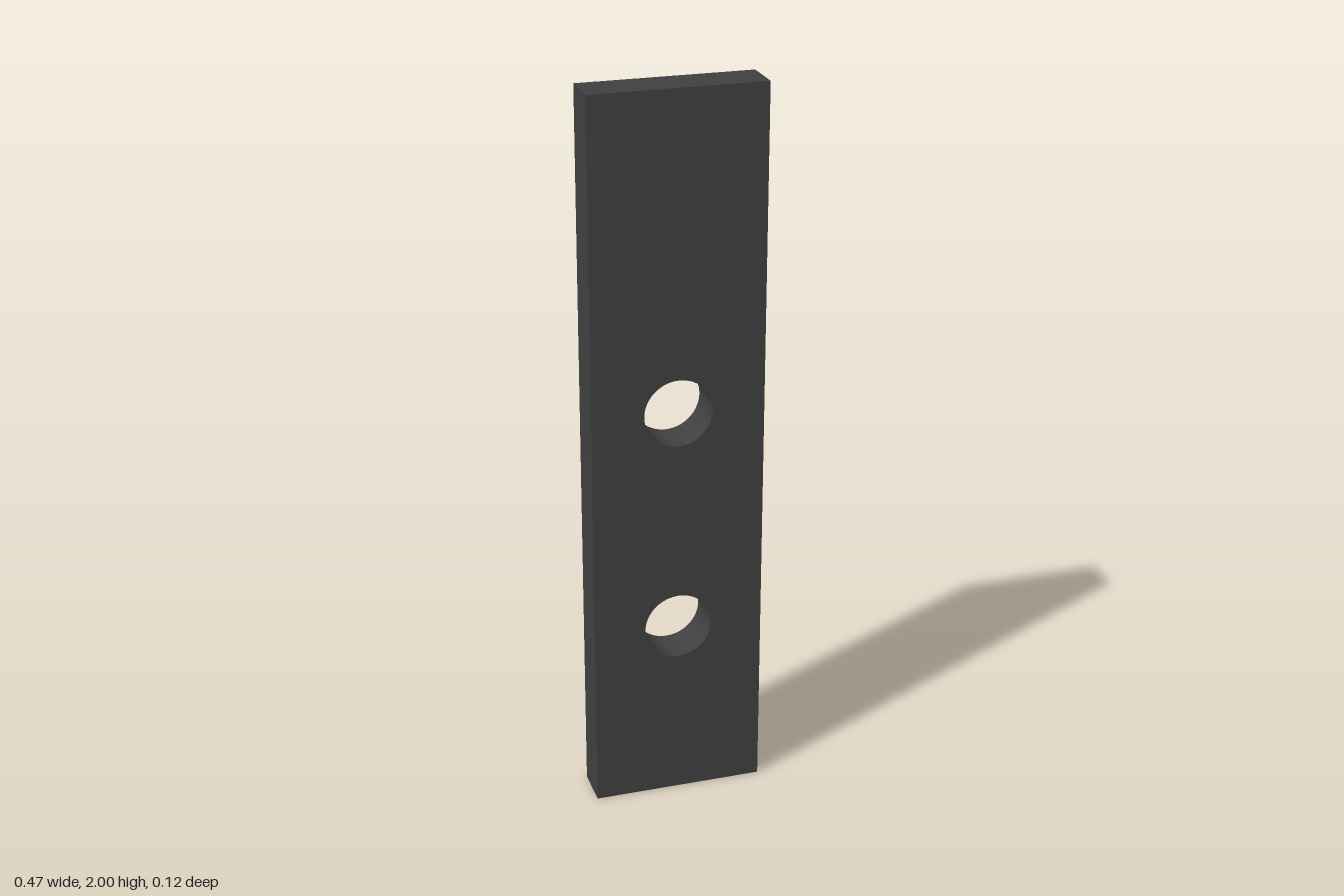
import * as THREE from 'three';
import { toCreasedNormals } from 'three/addons/utils/BufferGeometryUtils.js';

const WIDTH = 0.47, HEIGHT = 2, DEPTH = 0.117;
const HOLE_RADIUS = 0.093, HOLE_HEIGHTS = [0.511, 1.139];

export function createModel() {
  const group = new THREE.Group();
  group.name = 'drilledPlate';

  // Rectangular plate outline
  const outline = new THREE.Shape([
    new THREE.Vector2(-WIDTH / 2, 0),
    new THREE.Vector2(WIDTH / 2, 0),
    new THREE.Vector2(WIDTH / 2, HEIGHT),
    new THREE.Vector2(-WIDTH / 2, HEIGHT),
  ]);

  // Two round through-holes
  for (const y of HOLE_HEIGHTS) {
    outline.holes.push(new THREE.Path().absarc(0, y, HOLE_RADIUS, 0, Math.PI * 2, true));
  }

  // Smooth hole walls, sharp plate edges
  const extruded = new THREE.ExtrudeGeometry(outline, { depth: DEPTH, bevelEnabled: false, curveSegments: 32 });
  extruded.translate(0, 0, -DEPTH / 2);
  const geometry = toCreasedNormals(extruded, Math.PI / 6);

  const plate = new THREE.Mesh(geometry, new THREE.MeshStandardMaterial({ color: 0x404040 }));
  plate.name = 'plate';
  group.add(plate);
  return group;
}
